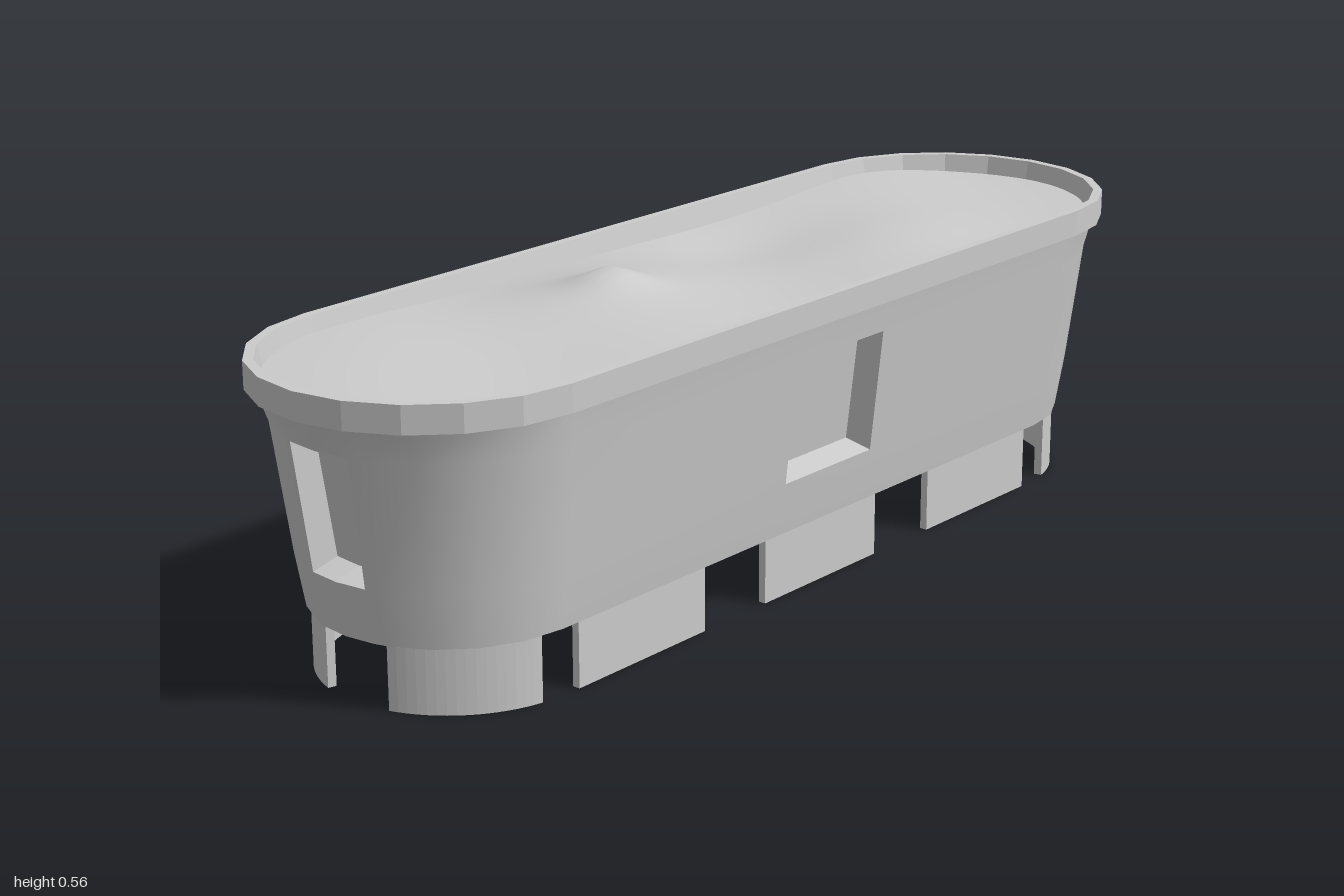
import * as THREE from 'three';

const ARC = [0, 18, 36, 54, 72, 90, 108, 126, 144, 162];
const ARC_WINDOWS = [0, 18, 36, 54, 72, 76.7, 90, 103.3, 108, 126, 144, 162];
const HALF = 15; // columns in half of the windowed outline

// Rounded-end outline at height y; the windowed one has columns at the window edges
function outline(hw, hl, y, windows) {
  const c = hl - hw, pts = [];
  for (const s of [1, -1]) {
    const zs = windows ? [-c, -0.12, 0.12] : [-c];
    for (const z of zs) pts.push([s * hw, y, s * z]);
    for (const deg of windows ? ARC_WINDOWS : ARC) {
      const t = THREE.MathUtils.degToRad(deg);
      pts.push([s * hw * Math.cos(t), y, s * (c + hw * Math.sin(t))]);
    }
  }
  return pts;
}

// Surface through rings of equal length
function loft(rings, closed = true, skip = () => false) {
  const n = rings[0].length, index = [];
  for (let r = 0; r < rings.length - 1; r++) {
    for (let i = 0; i < (closed ? n : n - 1); i++) {
      if (skip(r, i)) continue;
      const j = (i + 1) % n;
      const a = r * n + i, b = r * n + j, c = a + n, d = b + n;
      index.push(a, c, b, b, c, d);
    }
  }
  const g = new THREE.BufferGeometry();
  g.setAttribute('position', new THREE.Float32BufferAttribute(rings.flat(2), 3));
  g.setIndex(index);
  g.computeVertexNormals();
  return g;
}

function soilHeight(x, z) {
  const bump = (x0, z0, sx, sz, h) =>
    h * Math.exp(-(((x - x0) / sx) ** 2) - ((z - z0) / sz) ** 2);
  return 0.507 + 0.006 * Math.sin(4 * z + 5 * x) + 0.004 * Math.sin(9 * z - 8 * x)
    + bump(-0.06, 0.21, 0.06, 0.06, 0.026) + bump(-0.08, 0.24, 0.16, 0.2, 0.024)
    + bump(0.05, -0.45, 0.15, 0.2, 0.012) - bump(-0.12, -0.2, 0.12, 0.15, 0.01);
}

export function createModel() {
  const group = new THREE.Group();
  const smooth = new THREE.MeshStandardMaterial({ color: 0xcccccc, side: THREE.DoubleSide });
  const flat = new THREE.MeshStandardMaterial({ color: 0xcccccc, flatShading: true, side: THREE.DoubleSide });
  const add = (name, geometry, material = flat) => {
    const m = new THREE.Mesh(geometry, material);
    m.name = name;
    group.add(m);
    return m;
  };

  // Tapered tub wall with four window openings
  const rows = [[0.242, 0.91, 0.115], [0.256, 0.927, 0.212], [0.281, 0.958, 0.436], [0.29, 0.982, 0.497]]
    .map(([hw, hl, y]) => outline(hw, hl, y, true));
  const isWindow = (r, i) => r === 1 && [1, 8, 9].includes(i % HALF);
  add('tubWall', loft(rows, true, isWindow), smooth);

  // Recessed panels behind the openings
  const depth = 0.05;
  for (const s of [1, -1]) {
    for (const [from, to, dx, dz] of [[1, 2, -s, 0], [8, 10, 0, -s]]) {
      const start = from + (s === 1 ? 0 : HALF), end = to + (s === 1 ? 0 : HALF);
      const low = rows[1].slice(start, end + 1), high = rows[2].slice(start, end + 1);
      const inset = (pts, y) => pts.map(([x, , z]) => [
        x * (dx ? 1 : 0.95) + dx * depth, y, z * (dz ? 1 : 0.96) + dz * depth]);
      const lowIn = inset(low, 0.225), highIn = inset(high, 0.433);
      const loop = (a, b) => [...a, ...[...b].reverse()];
      add('windowReveal', loft([loop(low, high), loop(lowIn, highIn)]));
      add('windowPanel', loft([lowIn, highIn], false));
    }
  }

  // Flat underside
  add('underside', loft([outline(0.001, 0.669, 0.115), outline(0.242, 0.91, 0.115)]));

  // Faceted rim with a sloping inner lip
  add('rim', loft([
    outline(0.283, 0.975, 0.495), outline(0.3, 1, 0.495), outline(0.3, 1, 0.543),
    outline(0.283, 0.983, 0.543), outline(0.268, 0.968, 0.48),
  ]));

  // Uneven soil filling the tub
  const soil = new THREE.PlaneGeometry(2, 2, 24, 90).rotateX(-Math.PI / 2);
  const p = soil.attributes.position;
  for (let i = 0; i < p.count; i++) {
    const z = 0.972 * Math.sin(p.getZ(i) * Math.PI / 2);
    const over = Math.max(0, Math.abs(z) - 0.7);
    const x = p.getX(i) * Math.sqrt(Math.max(0, 0.272 ** 2 - over ** 2));
    p.setXYZ(i, x, soilHeight(x, z), z);
  }
  soil.computeVertexNormals();
  add('soil', soil, smooth);

  // Straight feet along both sides
  for (const s of [1, -1]) {
    for (const z of [-0.475, 0, 0.475]) {
      add('sideFoot', new THREE.BoxGeometry(0.014, 0.116, 0.314)).position.set(s * 0.235, 0.058, z);
    }
  }

  // Curved feet at the four corners
  for (const [a, b] of [[12, 73], [107, 168], [192, 253], [287, 348]]) {
    const [t0, t1] = [a, b].map(THREE.MathUtils.degToRad);
    const cy = a < 180 ? 0.66 : -0.66;
    const shape = new THREE.Shape();
    shape.absarc(0, cy, 0.24, t0, t1, false);
    shape.absarc(0, cy, 0.225, t1, t0, true);
    const foot = new THREE.ExtrudeGeometry(shape, { depth: 0.116, bevelEnabled: false, curveSegments: 8 });
    add('cornerFoot', foot.rotateX(-Math.PI / 2));
  }
  return group;
}
